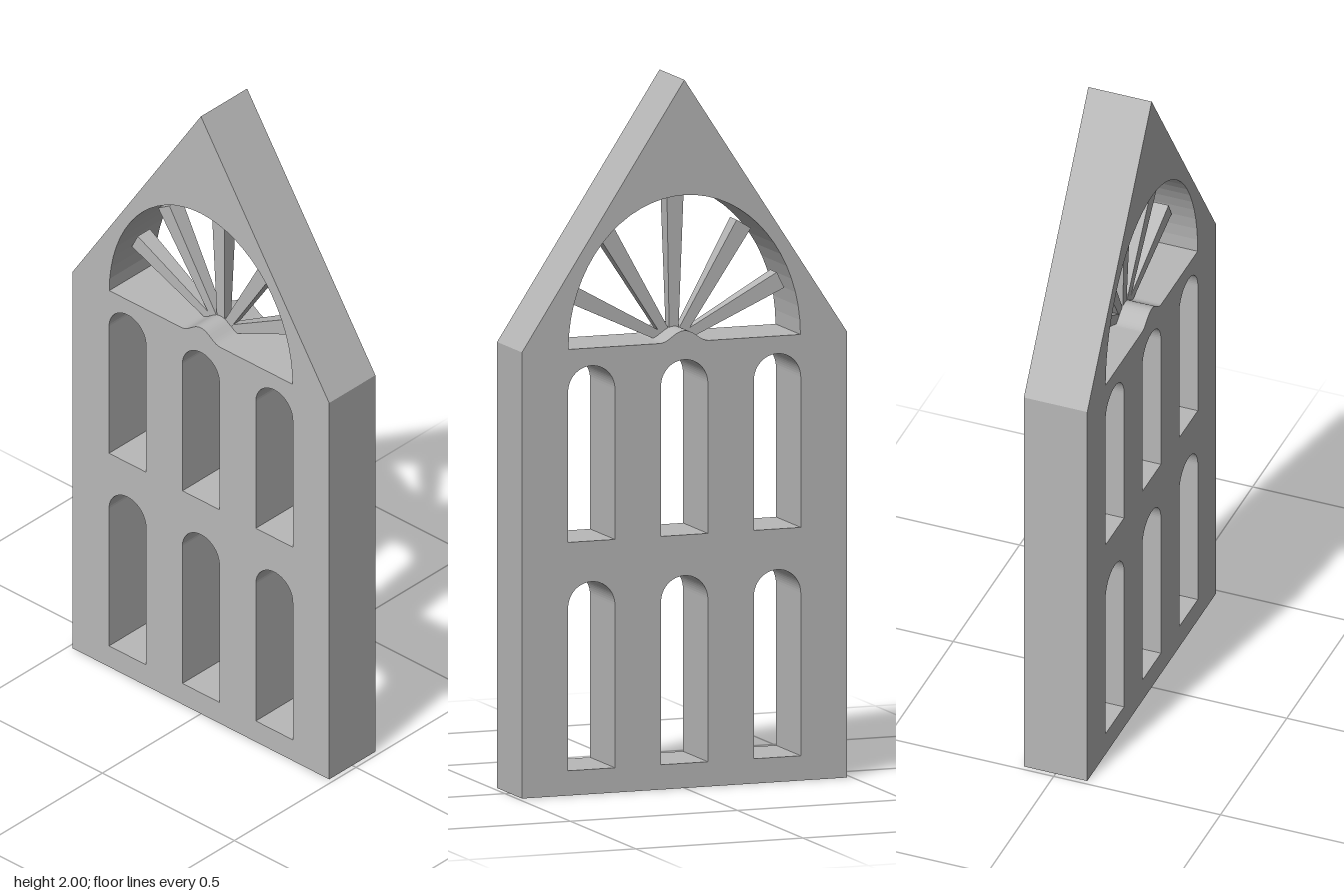
import * as THREE from 'three';

const DEPTH = 0.19;
const EAVES = 1.26;

// Round-headed window opening
function archedOpening(cx, bottom, top, half) {
  const p = new THREE.Path();
  p.moveTo(cx - half, bottom);
  p.lineTo(cx + half, bottom);
  p.lineTo(cx + half, top - half);
  p.absarc(cx, top - half, half, 0, Math.PI, false);
  p.closePath();
  return p;
}

// Half-oval fanlight opening with a small raised hub on its sill
function fanOpening() {
  const p = new THREE.Path();
  p.moveTo(-0.347, EAVES);
  p.lineTo(-0.075, EAVES);
  p.bezierCurveTo(-0.045, EAVES, -0.03, 1.292, 0, 1.292);
  p.bezierCurveTo(0.03, 1.292, 0.045, EAVES, 0.075, EAVES);
  p.lineTo(0.347, EAVES);
  p.absellipse(0, EAVES, 0.347, 0.415, 0, Math.PI, false, 0);
  p.closePath();
  return p;
}

// Square bar that widens from the hub outwards
function spoke(from, to, material) {
  const a = new THREE.Vector3(from[0], from[1], 0);
  const b = new THREE.Vector3(to[0], to[1], 0);
  const dir = b.clone().sub(a);
  let geo = new THREE.CylinderGeometry(0.05 / Math.SQRT2, 0.027 / Math.SQRT2, dir.length(), 4);
  geo.rotateY(Math.PI / 4);
  geo = geo.toNonIndexed();
  geo.computeVertexNormals();
  const mesh = new THREE.Mesh(geo, material);
  mesh.position.copy(a).add(b).multiplyScalar(0.5);
  mesh.quaternion.setFromUnitVectors(new THREE.Vector3(0, 1, 0), dir.normalize());
  mesh.name = 'fanSpoke';
  return mesh;
}

export function createModel() {
  const group = new THREE.Group();
  group.name = 'gabledFacade';
  const stone = new THREE.MeshStandardMaterial({ color: 0xb8b8b8 });
  stone.name = 'grey stone';

  // Gabled wall with two rows of windows and the fanlight cut through
  const wall = new THREE.Shape();
  wall.moveTo(-0.486, 0);
  wall.lineTo(0.486, 0);
  wall.lineTo(0.486, EAVES);
  wall.lineTo(0, 2);
  wall.lineTo(-0.486, EAVES);
  wall.closePath();
  for (const x of [-0.278, 0, 0.278]) {
    wall.holes.push(archedOpening(x, 0.07, 0.6, 0.07));
    wall.holes.push(archedOpening(x, 0.715, 1.21, 0.07));
  }
  wall.holes.push(fanOpening());
  const wallGeo = new THREE.ExtrudeGeometry(wall, { depth: DEPTH, bevelEnabled: false, curveSegments: 16 });
  wallGeo.translate(0, 0, -DEPTH / 2);
  const wallMesh = new THREE.Mesh(wallGeo, stone);
  wallMesh.name = 'gableWall';
  group.add(wallMesh);

  // Fanlight spokes
  const fan = new THREE.Group();
  fan.name = 'fanlight';
  fan.add(spoke([0, 1.27], [0, 1.675], stone));
  for (const s of [-1, 1]) {
    fan.add(spoke([s * 0.025, 1.275], [s * 0.205, 1.57], stone));
    fan.add(spoke([s * 0.045, 1.268], [s * 0.315, 1.405], stone));
  }
  group.add(fan);
  return group;
}
